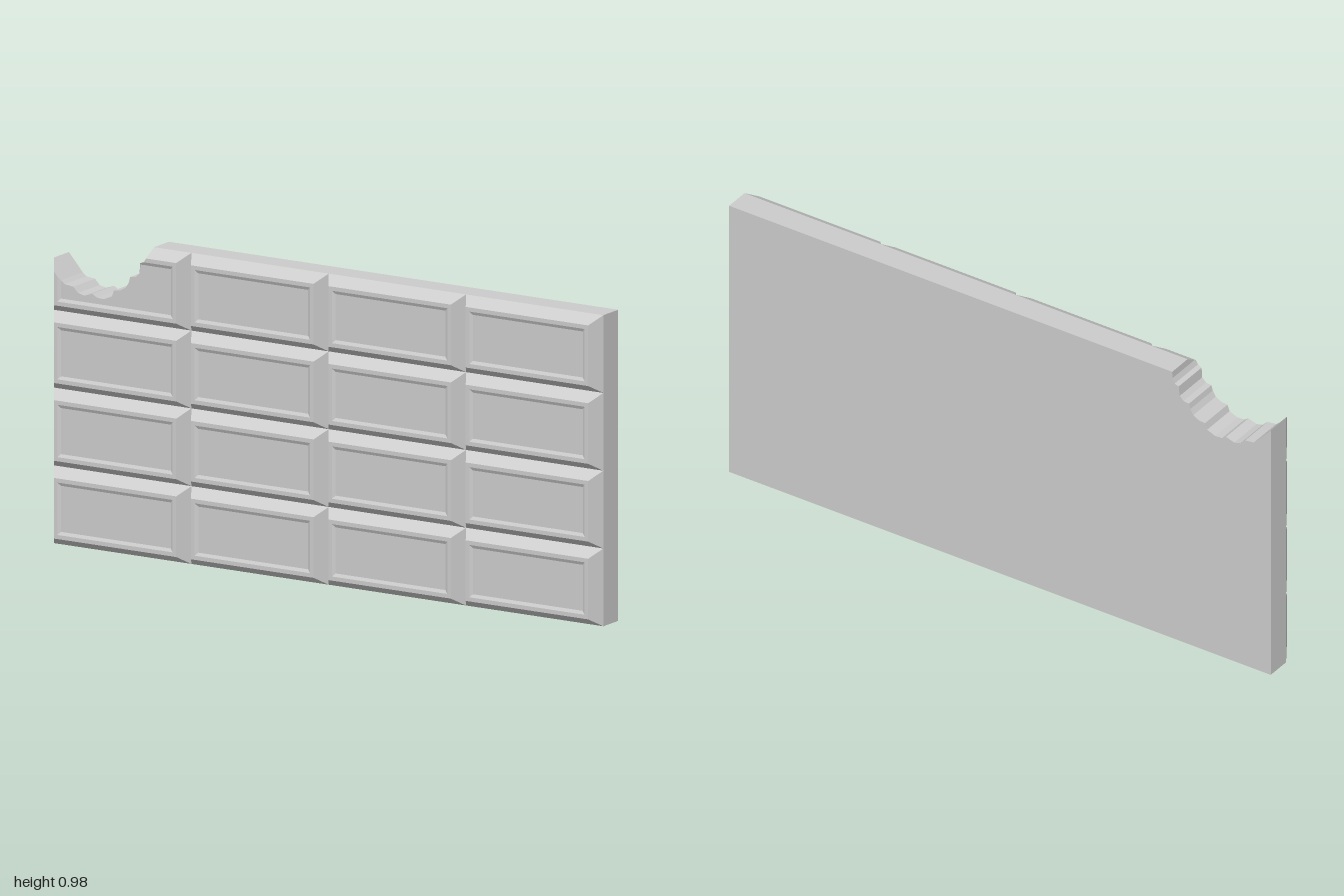
import * as THREE from 'three';

const COLS = 4, ROWS = 4, W = 0.5, H = 0.245;
const BACK = -0.064, GROOVE = 0.02;
// Tile relief: distance in from the tile edge -> z (bevel, rim, shallow recess)
const INSET = [0, 0.027, 0.04, 0.05];
const RELIEF = [GROOVE, 0.064, 0.064, 0.059];
// Scalloped bite outline, left to right
const BITE = [
  [-1, 0.9], [-0.95, 0.843], [-0.937, 0.832], [-0.905, 0.828], [-0.888, 0.811], [-0.865, 0.805],
  [-0.835, 0.815], [-0.82, 0.805], [-0.795, 0.803], [-0.765, 0.815], [-0.757, 0.836],
  [-0.735, 0.838], [-0.714, 0.85], [-0.703, 0.868], [-0.698, 0.886], [-0.678, 0.888],
  [-0.664, 0.902], [-0.66, 0.935], [-0.645, 0.94], [-0.637, 0.957], [-0.636, 0.98],
];

// Piecewise linear lookup
function lerpTable(xs, ys, x) {
  if (x <= xs[0]) return ys[0];
  for (let i = 1; i < xs.length; i++) {
    if (x <= xs[i]) return ys[i - 1] + (ys[i] - ys[i - 1]) * (x - xs[i - 1]) / (xs[i] - xs[i - 1]);
  }
  return ys[ys.length - 1];
}
const biteX = BITE.map(p => p[0]), biteY = BITE.map(p => p[1]);

// One tile, built from vertical columns that stop at the bite when there is one
function tileGeometry(x0, y0, bitten) {
  const x1 = x0 + W, y1 = y0 + H;
  let xs = [...INSET.map(i => x0 + i), ...INSET.map(i => x1 - i)];
  if (bitten) xs.push(...biteX);
  xs = [...new Set(xs.map(x => +x.toFixed(5)))].sort((a, b) => a - b);

  const columns = xs.map(x => {
    const d = Math.max(0, Math.min(x - x0, x1 - x));
    const top = bitten ? Math.min(y1, lerpTable(biteX, biteY, x)) : y1;
    const ys = [
      ...INSET.map(i => y0 + Math.min(d, i)),
      ...INSET.map(i => y1 - Math.min(d, i)).reverse(),
    ];
    const points = ys.map(v => {
      const y = Math.min(v, top);
      return [x, y, lerpTable(INSET, RELIEF, Math.min(d, y - y0, y1 - y))];
    });
    if (bitten) points.push([x, top, GROOVE]); // wall down to the slab
    return points;
  });

  const position = [];
  for (let c = 0; c < columns.length - 1; c++) {
    const l = columns[c], r = columns[c + 1];
    for (let k = 0; k < l.length - 1; k++) {
      position.push(...l[k], ...r[k], ...r[k + 1], ...l[k], ...r[k + 1], ...l[k + 1]);
    }
  }
  const geometry = new THREE.BufferGeometry();
  geometry.setAttribute('position', new THREE.Float32BufferAttribute(position, 3));
  geometry.computeVertexNormals();
  return geometry;
}

export function createModel() {
  const bar = new THREE.Group();
  bar.name = 'chocolateBar';
  const material = new THREE.MeshStandardMaterial({ color: 0xcccccc, flatShading: true });

  // Flat slab behind the tiles, with the bite cut out of its corner
  const outline = new THREE.Shape(
    [[-1, 0], [1, 0], [1, ROWS * H], ...[...BITE].reverse()].map(p => new THREE.Vector2(...p)),
  );
  const slab = new THREE.Mesh(
    new THREE.ExtrudeGeometry(outline, { depth: GROOVE - BACK, bevelEnabled: false }),
    material,
  );
  slab.position.z = BACK;
  slab.name = 'slab';
  bar.add(slab);

  // Grid of bevelled tiles; the top left one is bitten
  for (let row = 0; row < ROWS; row++) {
    for (let col = 0; col < COLS; col++) {
      const bitten = row === ROWS - 1 && col === 0;
      const tile = new THREE.Mesh(tileGeometry(-1 + col * W, row * H, bitten), material);
      tile.name = bitten ? 'bittenTile' : `tile_${row + 1}_${col + 1}`;
      bar.add(tile);
    }
  }
  return bar;
}
